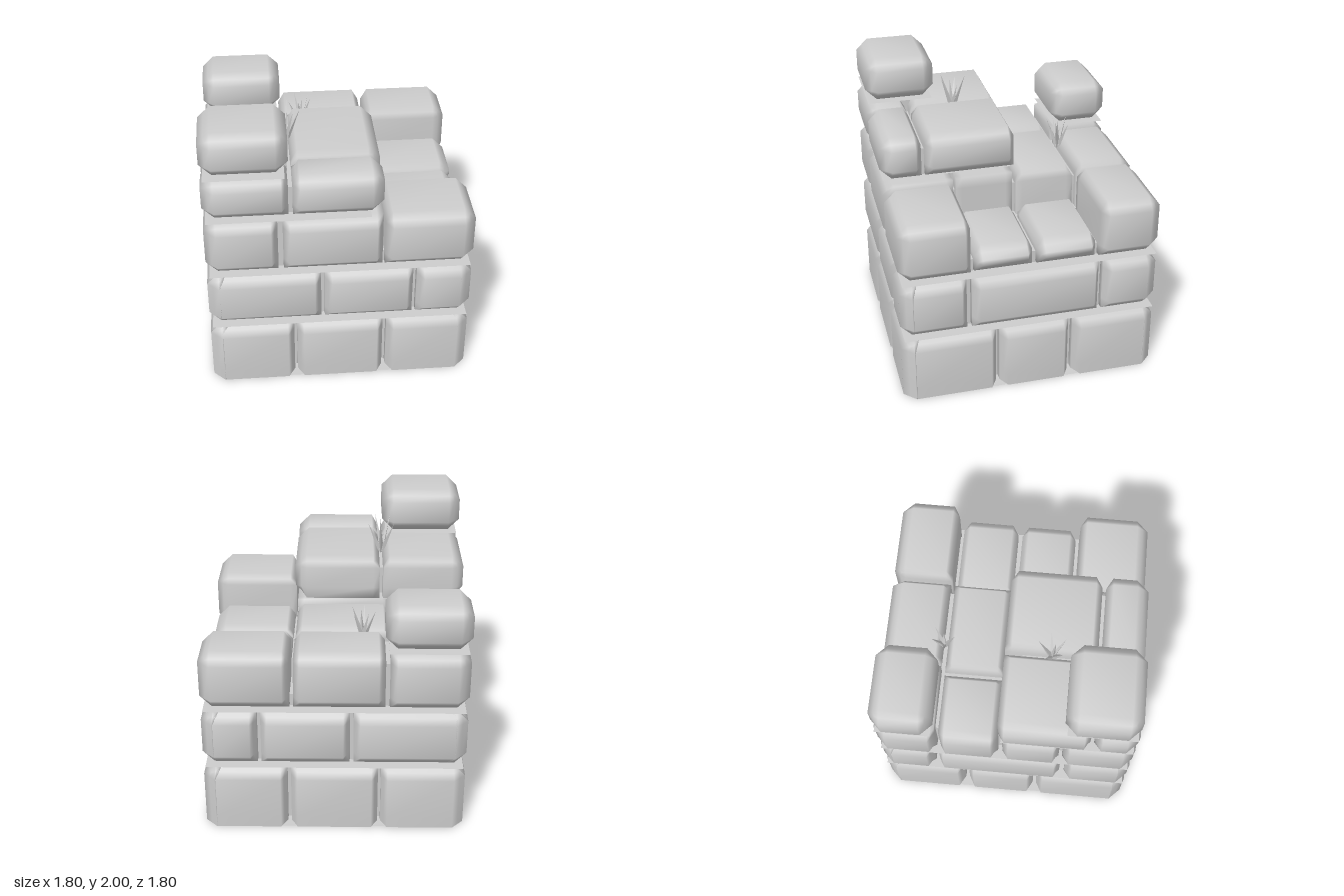
import * as THREE from 'three';
import { mergeVertices } from 'three/addons/utils/BufferGeometryUtils.js';

const stoneMat = new THREE.MeshStandardMaterial({ color: 0xcccccc, side: THREE.DoubleSide });
stoneMat.name = 'grey stone';

const EDGE = 0.9, CORE = 0.77;

function add(group, name, geometry) {
  const mesh = new THREE.Mesh(geometry, stoneMat);
  mesh.name = name;
  group.add(mesh);
  return mesh;
}

// Stone block with chamfers along every edge of an exposed face.
// Faces on the outer wall are exposed; 'open' lists others: l r d u k f.
function stoneGeometry(xr, yr, zr, open = '') {
  const ranges = [xr, yr, zr];
  const letters = ['lr', 'du', 'kf'];
  const ground = yr[0] === 0;
  const exposed = ranges.map((r, a) => [0, 1].map(s =>
    open.includes(letters[a][s]) || (a !== 1 && Math.abs(r[s]) >= EDGE - 0.021)));
  const inset = exposed.map((e, a) => e.map(v => (v || a === 1 ? 0.08 : 0.045)));

  const geo = new THREE.BoxGeometry(1, 1, 1, 3, 3, 3);
  const pos = geo.attributes.position;
  for (let i = 0; i < pos.count; i++) {
    const grid = [pos.getX(i), pos.getY(i), pos.getZ(i)].map(v => Math.round((v + 0.5) * 3));
    const p = grid.map((g, a) => {
      const [lo, hi] = ranges[a];
      return [lo, lo + inset[a][0], hi - inset[a][1], hi][g];
    });
    const ends = [0, 1, 2].filter(a => (grid[a] === 0 || grid[a] === 3) && !(ground && a === 1 && grid[a] === 0));
    const side = a => (grid[a] === 3 ? 1 : 0);
    const shown = ends.filter(a => exposed[a][side(a)]);
    const pull = (a, k) => { p[a] += (side(a) ? -1 : 1) * inset[a][side(a)] * k; };
    if (ends.length === 2 && shown.length) ends.forEach(a => pull(a, 0.5));
    if (ends.length === 3 && shown.length === 1) pull(shown[0], 1);
    if (ends.length === 3 && shown.length > 1) ends.forEach(a => pull(a, 2 / 3));
    pos.setXYZ(i, ...p);
  }
  // The lowest course is open underneath; a flat footing closes it
  if (ground) {
    const { start, count } = geo.groups[3];
    const index = Array.from(geo.index.array);
    index.splice(start, count);
    geo.setIndex(index);
  }
  geo.clearGroups();
  geo.deleteAttribute('uv');
  geo.deleteAttribute('normal');
  const smooth = mergeVertices(geo, 1e-4);
  smooth.computeVertexNormals();
  return smooth;
}

function box(group, name, [x0, x1], [y0, y1], [z0, z1]) {
  const geo = new THREE.BoxGeometry(x1 - x0, y1 - y0, z1 - z0);
  geo.translate((x0 + x1) / 2, (y0 + y1) / 2, (z0 + z1) / 2);
  return add(group, name, geo);
}

// Thin mortar sheet lying between two courses
function sheet(group, y, [x0, x1], [z0, z1]) {
  const geo = new THREE.PlaneGeometry(x1 - x0, z1 - z0).rotateX(-Math.PI / 2);
  geo.translate((x0 + x1) / 2, y, (z0 + z1) / 2);
  return add(group, 'mortarSheet', geo);
}

// Tuft of thin pointed leaves fanning outwards
function tuft(x, y, z, height, turn) {
  const group = new THREE.Group();
  group.name = 'grassTuft';
  for (let i = 0; i < 6; i++) {
    const h = height * (i % 2 ? 0.92 : 1.04);
    const leaf = new THREE.ConeGeometry(0.022, h, 3).translate(0, h / 2, 0).toNonIndexed();
    leaf.rotateX(i === 5 ? 0.08 : 0.36 + 0.06 * (i % 2)).rotateY(turn + i * Math.PI * 0.4);
    leaf.computeVertexNormals();
    add(group, 'leaf', leaf);
  }
  group.position.set(x, y, z);
  return group;
}

export function createModel() {
  const model = new THREE.Group();
  model.name = 'ruinedStoneTower';

  // Two complete courses, each a ring of facing stones
  const rings = [
    { name: 'baseCourse', y: [0, 0.465],
      xs: [[-0.9, -0.32], [-0.3, 0.3], [0.325, 0.9]],
      zs: [[0.24, 0.9], [-0.28, 0.215], [-0.9, -0.31]] },
    { name: 'secondCourse', y: [0.49, 0.9],
      xs: [[-0.9, -0.13], [-0.105, 0.5], [0.525, 0.9]],
      zs: [[0.44, 0.9], [-0.485, 0.405], [-0.9, -0.515]] },
  ];
  for (const { name, y, xs, zs } of rings) {
    const course = new THREE.Group();
    course.name = name;
    for (const depth of [[CORE, EDGE], [-EDGE, -CORE]]) {
      for (const x of xs) add(course, 'stone', stoneGeometry(x, y, depth));
      for (const z of zs) add(course, 'stone', stoneGeometry(depth, y, z));
    }
    model.add(course);
  }

  // Broken upper courses: [x range, y range, z range, extra open faces]
  const T = [0.925, 1.34], L = [0.925, 1.12], F = [1.365, 1.675];
  const uppers = {
    thirdCourse: [
      [[-0.9, -0.415], T, [0.41, 0.9], ''],
      [[-0.38, 0.285], T, [0.41, 0.9], ''],
      [[0.3, 0.9], T, [0.41, 0.9], 'u'],
      [[-0.9, -0.41], T, [-0.015, 0.385], ''],
      [[-0.38, 0.27], T, [-0.015, 0.385], ''],
      [[0.31, 0.885], L, [-0.015, 0.385], 'u'],
      [[-0.9, -0.41], T, [-0.455, -0.045], 'u'],
      [[-0.38, 0.27], T, [-0.455, -0.045], 'u'],
      [[0.31, 0.89], L, [-0.455, -0.045], 'u'],
      [[-0.9, -0.37], T, [-0.9, -0.48], ''],
      [[-0.34, 0.275], T, [-0.9, -0.485], 'u'],
      [[0.3, 0.9], T, [-0.9, -0.48], 'u'],
    ],
    fourthCourse: [
      [[-0.9, -0.34], F, [0.61, 0.9], 'u'],
      [[-0.31, 0.285], F, [0.61, 0.9], 'ur'],
      [[-0.9, -0.335], F, [-0.04, 0.585], 'u'],
      [[-0.31, 0.285], F, [-0.04, 0.585], 'ur'],
      [[-0.9, -0.335], F, [-0.9, -0.48], 'udlrfk'],
    ],
    topStone: [[[-0.9, -0.335], [1.69, 2], [0.4, 0.89], 'udlrfk']],
  };
  for (const [name, list] of Object.entries(uppers)) {
    const course = new THREE.Group();
    course.name = name;
    for (const s of list) add(course, 'stone', stoneGeometry(...s));
    model.add(course);
  }

  // Core behind the stones, hollow and open at the bottom
  const core = new THREE.Group();
  core.name = 'core';
  const wall = new THREE.CylinderGeometry(CORE * Math.SQRT2, CORE * Math.SQRT2, 0.91, 4, 1, true, Math.PI / 4)
    .translate(0, 0.455, 0).toNonIndexed();
  wall.computeVertexNormals();
  add(core, 'hollowWall', wall);
  box(core, 'thirdCore', [-0.78, 0.22], [0.9, 1.23], [-0.78, 0.78]);
  box(core, 'lowCore', [0.2, 0.78], [0.9, 1.0], [-0.78, 0.78]);
  box(core, 'cornerCore', [0.4, 0.78], [0.9, 1.22], [-0.78, -0.55]);
  box(core, 'fourthCore', [-0.78, 0.17], [1.2, 1.55], [0.08, 0.78]);
  box(core, 'backCore', [-0.78, -0.46], [1.2, 1.5], [-0.78, -0.6]);
  box(core, 'topCore', [-0.78, -0.46], [1.5, 1.75], [0.53, 0.78]);
  model.add(core);

  // Mortar sheets and the flat underside of the base
  const mortar = new THREE.Group();
  mortar.name = 'mortar';
  sheet(mortar, 0.477, [-0.88, 0.88], [-0.88, 0.88]);
  sheet(mortar, 0.912, [-0.88, 0.88], [-0.88, 0.88]);
  sheet(mortar, 1.353, [-0.88, 0.2], [-0.02, 0.88]);
  sheet(mortar, 1.353, [-0.88, -0.36], [-0.88, -0.5]);
  sheet(mortar, 1.683, [-0.88, -0.36], [0.42, 0.88]);
  for (const s of [-1, 1]) {
    sheet(mortar, 0.001, [-0.83, 0.83], s > 0 ? [CORE, 0.89] : [-0.89, -CORE]).name = 'footing';
    sheet(mortar, 0.001, s > 0 ? [CORE, 0.89] : [-0.89, -CORE], [-0.83, 0.83]).name = 'footing';
  }
  model.add(mortar);

  // Grass growing in the joints
  model.add(tuft(-0.325, 1.6, 0.28, 0.26, 0.5));
  model.add(tuft(-0.19, 1.27, -0.48, 0.23, 1.1));

  return model;
}
